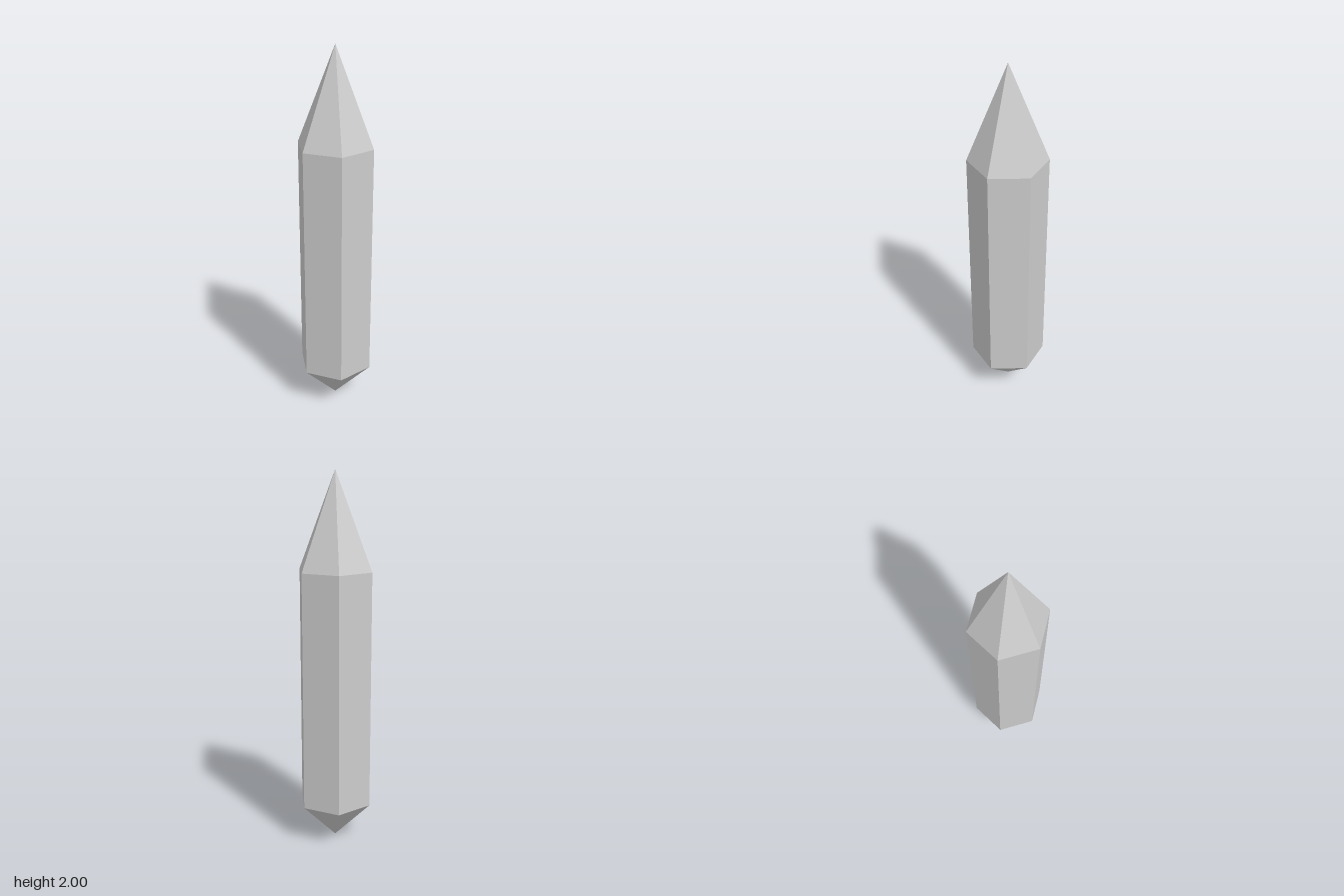
import * as THREE from 'three';

const SIDES = 6;
const RADIUS = 0.206;
const LOWER_RIM = 0.215;
const UPPER_RIM = 1.495;
const TIP = 2;

export function createModel() {
  const crystal = new THREE.Group();
  crystal.name = 'crystal';
  const material = new THREE.MeshStandardMaterial({ color: 0xcccccc, flatShading: true });

  // One open six-sided section between two heights, with corners on the x axis
  function addSection(name, bottomRadius, topRadius, y0, y1) {
    const geometry = new THREE.CylinderGeometry(
      topRadius, bottomRadius, y1 - y0, SIDES, 1, true, Math.PI / 2
    );
    geometry.translate(0, (y0 + y1) / 2, 0);
    const mesh = new THREE.Mesh(geometry, material);
    mesh.name = name;
    crystal.add(mesh);
  }

  // Short point below, straight shaft, long point above
  addSection('lowerPoint', 0, RADIUS, 0, LOWER_RIM);
  addSection('shaft', RADIUS, RADIUS, LOWER_RIM, UPPER_RIM);
  addSection('upperPoint', RADIUS, 0, UPPER_RIM, TIP);

  return crystal;
}
